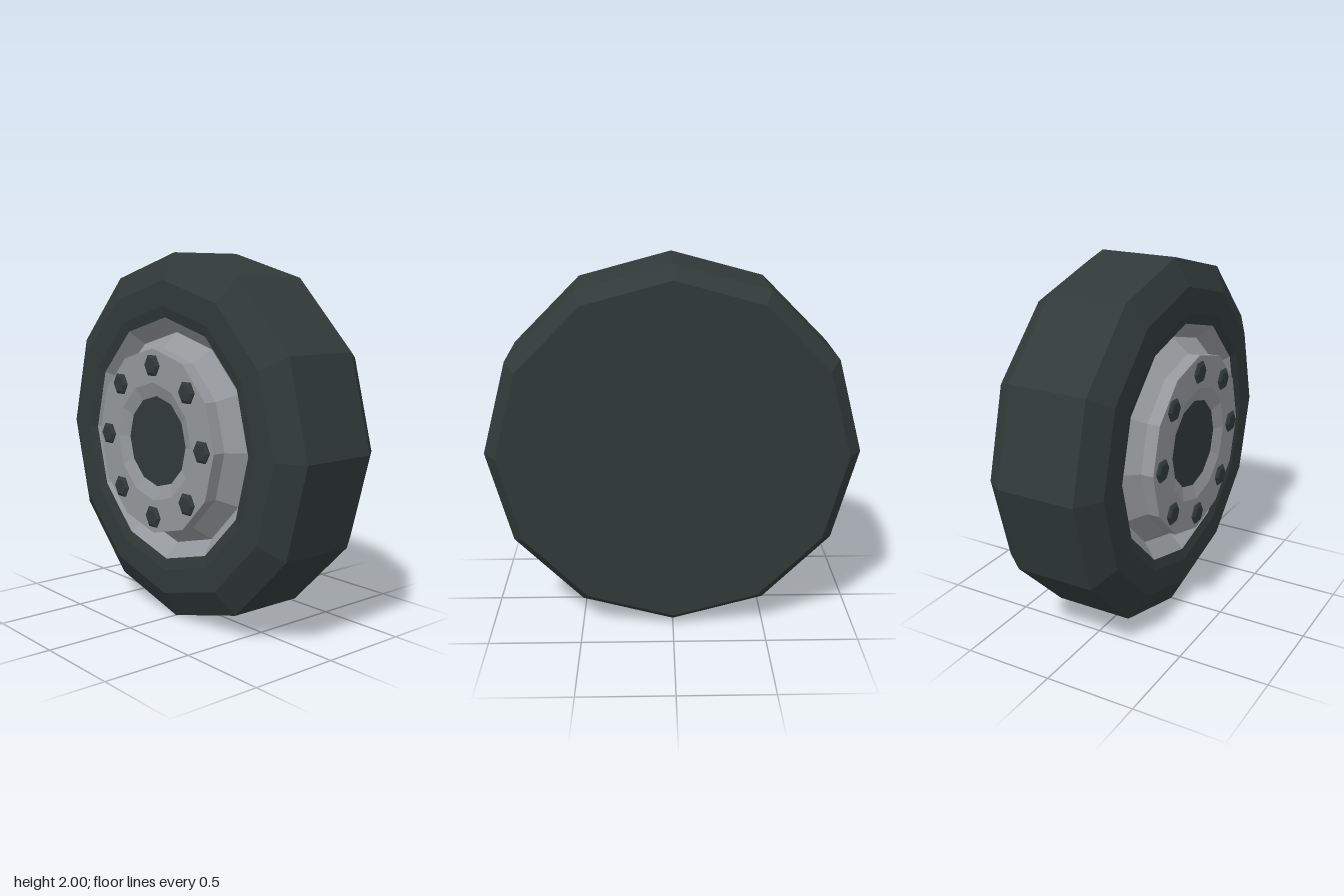
import * as THREE from 'three';

export function createModel() {
  const rubber = new THREE.MeshStandardMaterial({ color: 0x303a39 });
  rubber.name = 'dark rubber';
  const steel = new THREE.MeshStandardMaterial({ color: 0x94979b });
  steel.name = 'grey steel';
  rubber.flatShading = steel.flatShading = true;

  const model = new THREE.Group();
  model.name = 'wheel';

  // The wheel is turned around a local y axis, which points to -x once laid over
  const wheel = new THREE.Group();
  wheel.name = 'wheelAssembly';
  wheel.rotation.z = Math.PI / 2;
  wheel.position.y = 1;
  model.add(wheel);

  // Turned twelve-sided part from [radius, offset along the axle] pairs
  function turned(name, profile, material, sides = 12) {
    const points = profile.map(([r, h]) => new THREE.Vector2(r, h));
    const mesh = new THREE.Mesh(new THREE.LatheGeometry(points, sides), material);
    mesh.name = name;
    wheel.add(mesh);
    return mesh;
  }

  // Tyre: closed inner face, chamfered shoulder, tread, sidewall and lip
  turned('tyre', [
    [0, -0.345], [0.93, -0.345], [1, -0.25], [1, 0.185],
    [0.855, 0.265], [0.72, 0.265], [0.66, 0.25],
  ], rubber);

  // Rim: sunken groove around a raised hub with a shallow bore
  turned('rim', [
    [0.66, 0.25], [0.58, 0.17], [0.5, 0.265], [0.5, 0.335],
    [0.32, 0.335], [0.245, 0.309],
  ], steel);

  // Axle end inside the bore
  turned('axleCap', [[0.245, 0.309], [0, 0.309]], rubber);

  // Eight tapered hexagonal wheel nuts
  for (let i = 0; i < 8; i++) {
    const a = (i * Math.PI) / 4;
    const nut = turned('wheelNut', [
      [0.06, 0.325], [0.063, 0.343], [0.045, 0.353], [0, 0.353],
    ], rubber, 6);
    nut.position.set(Math.cos(a) * 0.41, 0, Math.sin(a) * 0.41);
  }

  return model;
}
